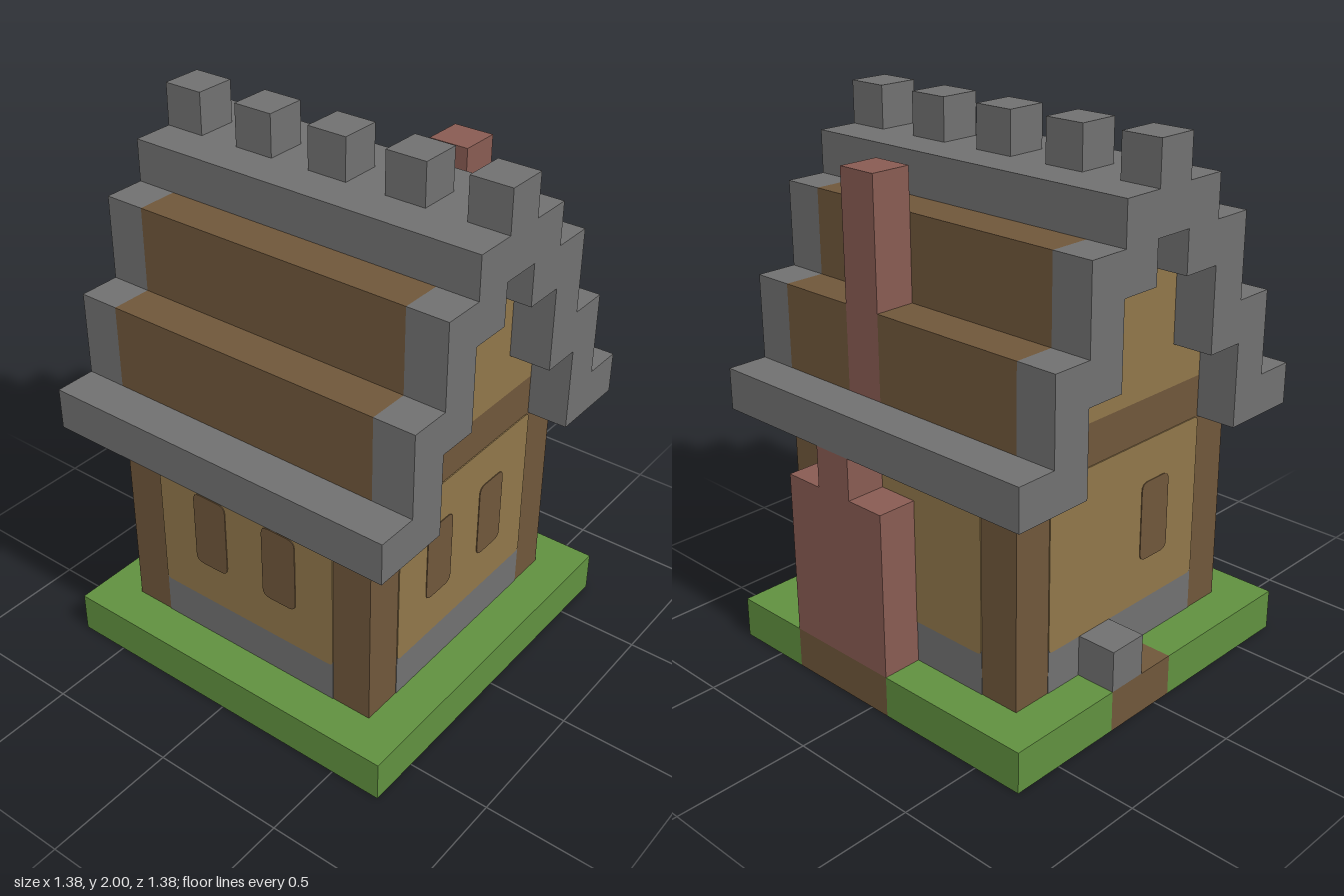
import * as THREE from 'three';

const U = 2 / 13; // one block

const mat = (name, color) => {
  const m = new THREE.MeshStandardMaterial({ color });
  m.name = name;
  return m;
};

export function createModel() {
  const model = new THREE.Group();
  model.name = 'cottage';
  const stone = mat('stone grey', 0x707070);
  const grass = mat('grass green', 0x60903f);
  const wood = mat('wood brown', 0x6f563a);
  const plaster = mat('plaster tan', 0x90764a);
  const brick = mat('brick red', 0x885b52);

  const group = (name) => {
    const g = new THREE.Group();
    g.name = name;
    model.add(g);
    return g;
  };
  const add = (parent, name, geo, material) => {
    const m = new THREE.Mesh(geo, material);
    m.name = name;
    parent.add(m);
    return m;
  };
  // Box given by its limits in blocks
  const box = (parent, name, material, x0, x1, y0, y1, z0, z1) => {
    const m = add(parent, name, new THREE.BoxGeometry((x1 - x0) * U, (y1 - y0) * U, (z1 - z0) * U), material);
    m.position.set((x0 + x1) / 2 * U, (y0 + y1) / 2 * U, (z0 + z1) / 2 * U);
  };
  // Mirrored profile (right half, in blocks) extruded along z
  const steps = (parent, name, material, half, z0, z1) => {
    const pts = [...half, ...half.map(([x, y]) => [-x, y]).reverse()];
    const shape = new THREE.Shape(pts.map(([x, y]) => new THREE.Vector2(x * U, y * U)));
    const geo = new THREE.ExtrudeGeometry(shape, { depth: (z1 - z0) * U, bevelEnabled: false });
    geo.translate(0, 0, z0 * U);
    add(parent, name, geo, material);
  };
  // Thin plate with rounded corners on the local z = 3.5 wall plane
  const plate = (parent, name, material, x0, x1, y0, y1, r, depth) => {
    const s = new THREE.Shape();
    const [a, b, c, d] = [x0 * U, x1 * U, y0 * U, y1 * U];
    s.moveTo(a + r, c);
    s.lineTo(b - r, c);
    s.quadraticCurveTo(b, c, b, c + r);
    s.lineTo(b, d - r);
    s.quadraticCurveTo(b, d, b - r, d);
    s.lineTo(a + r, d);
    s.quadraticCurveTo(a, d, a, d - r);
    s.lineTo(a, c + r);
    s.quadraticCurveTo(a, c, a + r, c);
    const geo = new THREE.ExtrudeGeometry(s, { depth, bevelEnabled: false, curveSegments: 4 });
    geo.translate(0, 0, 3.5 * U);
    add(parent, name, geo, material);
  };

  // Ground: soil under house, chimney and doorstep, turf around it
  const ground = group('ground');
  [[-3.5, 3.5, -3.5, 3.5], [3.5, 4.5, -0.5, 2.5], [-0.5, 1.5, -4.5, -3.5]]
    .forEach(([a, b, c, d]) => box(ground, 'soil', wood, a, b, 0, 1, c, d));
  [[-4.5, 4.5, 3.5, 4.5], [-4.5, -3.5, -4.5, 3.5], [-3.5, -0.5, -4.5, -3.5],
    [1.5, 4.5, -4.5, -3.5], [3.5, 4.5, -3.5, -0.5], [3.5, 4.5, 2.5, 3.5]]
    .forEach(([a, b, c, d]) => box(ground, 'turf', grass, a, b, 0, 1, c, d));
  box(ground, 'doorstep', stone, 0.5, 1.5, 1, 2, -4.5, -3.5);

  // Timber core shows as corner posts and tie beam
  const house = group('house');
  box(house, 'timberFrame', wood, -3.5, 3.5, 1, 7, -3.5, 3.5);

  // Walls in turn: front, right (+x), back, left; windows by left edge
  [[-1.5, 0.5 + 0.02], [], [0.5], [-1.5, 0.5]].forEach((windows, i) => {
    const wall = new THREE.Group();
    wall.name = ['frontWall', 'chimneyWall', 'backWall', 'sideWall'][i];
    wall.rotation.y = i * Math.PI / 2;
    house.add(wall);
    plate(wall, 'stoneFooting', stone, -2.5, 2.5, 1, 2.1, 0, 0.002);
    plate(wall, 'plasterPanel', plaster, -2.5, 2.5, 2, 6, 0.02, 0.004);
    windows.forEach((x) => plate(wall, 'window', wood, x + 0.03, x + 0.97, 3.04, 4.98, 0.03, 0.007));
  });

  // Stepped gable filling under the roof
  steps(house, 'gable', plaster,
    [[2.5, 7], [2.5, 8], [1.5, 8], [1.5, 10], [0.5, 10], [0.5, 11]], -3.5, 3.5);

  // Roof: stone verges at both ends, timber steps between
  const roof = group('roof');
  const verge = [[0.5, 11], [0.5, 10], [1.5, 10], [1.5, 8], [2.5, 8], [2.5, 6], [4.5, 6],
    [4.5, 7], [3.5, 7], [3.5, 9], [2.5, 9], [2.5, 11], [1.5, 11], [1.5, 12]];
  steps(roof, 'frontVerge', stone, verge, 3.5, 4.5);
  steps(roof, 'backVerge', stone, verge, -4.5, -3.5);
  box(roof, 'ridge', stone, -1.5, 1.5, 11, 12, -3.5, 3.5);
  for (const s of [-1, 1]) {
    const course = (name, m, a, b, y0, y1, z0, z1) =>
      box(roof, name, m, Math.min(a * s, b * s), Math.max(a * s, b * s), y0, y1, z0, z1);
    course('eave', stone, 3.5, 4.5, 6, 7, -3.5, 3.5);
    course('upperRoofStep', wood, 1.5, 2.5, 8, 11, -3.5, 3.5);
    const spans = s > 0 ? [[-3.5, 0.5], [1.5, 3.5]] : [[-3.5, 3.5]];
    spans.forEach(([z0, z1]) => course('lowerRoofStep', wood, 2.5, 3.5, 7, 9, z0, z1));
  }
  for (let z = -4.5; z < 4; z += 2) box(roof, 'ridgeBlock', stone, -0.5, 0.5, 12, 13, z, z + 1);

  // Chimney: broad hearth, neck below the eave, stack through the roof
  const chimney = group('chimney');
  box(chimney, 'hearth', brick, 3.5, 4.5, 1, 5, -0.5, 2.5);
  box(chimney, 'neck', brick, 3.5, 4.5, 5, 6, 0.5, 1.5);
  box(chimney, 'stack', brick, 2.5, 3.5, 7, 12, 0.5, 1.5);

  return model;
}
